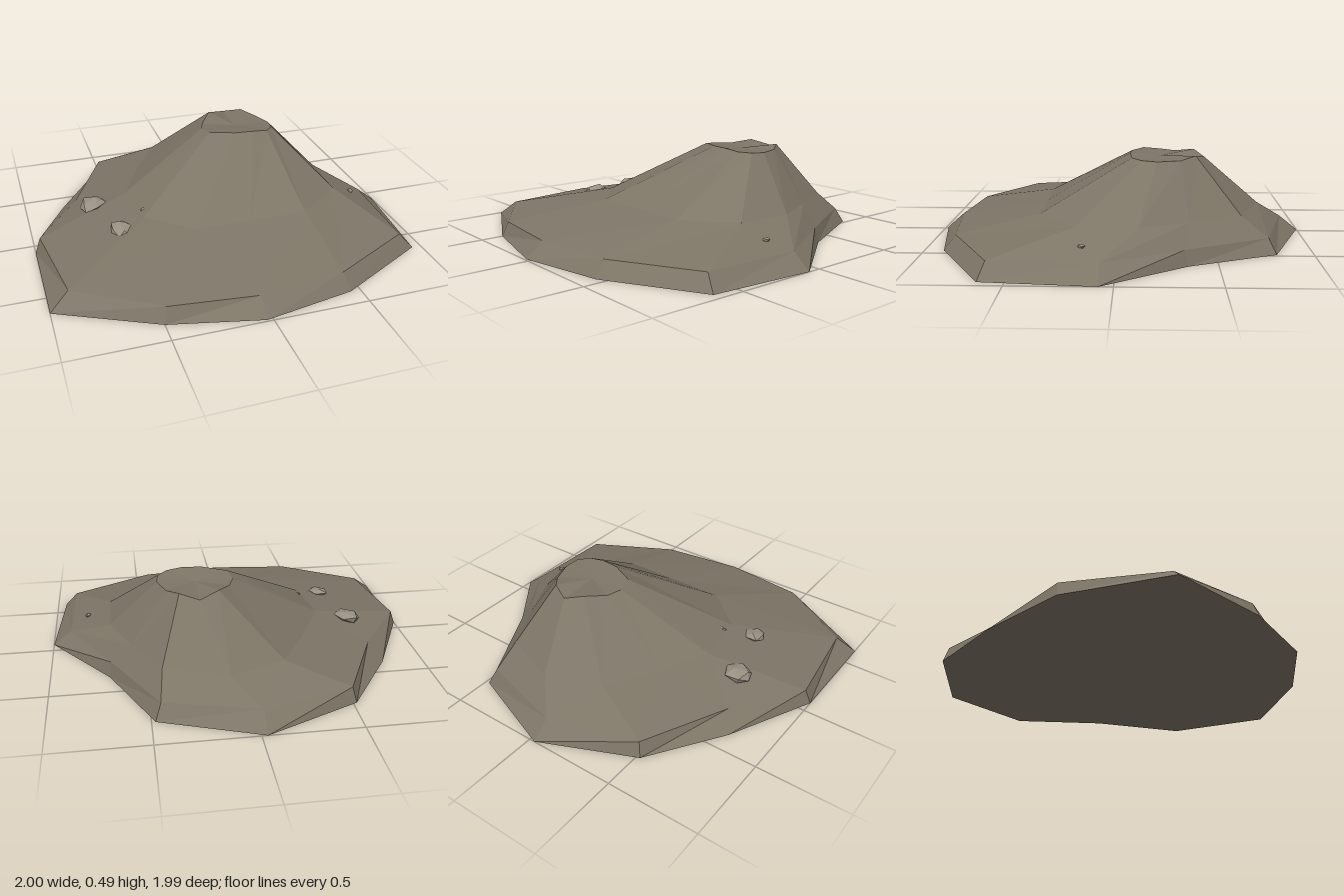
import * as THREE from 'three';

// Outlines of the mound, [x, z] clockwise from the back, seen from above
const foot = [[-0.03, -1], [0.48, -0.81], [0.69, -0.35], [1, 0.07], [0.95, 0.63], [0.45, 0.9],
  [-0.03, 0.99], [-0.5, 0.88], [-1, 0.63], [-1, 0.07], [-0.78, -0.39], [-0.52, -0.78]];
const skirt = [[-0.03, -0.9], [0.45, -0.77], [0.68, -0.33], [0.9, 0.07], [0.88, 0.6], [0.43, 0.84],
  [-0.03, 0.9], [-0.48, 0.85], [-0.9, 0.58], [-0.97, 0.06], [-0.72, -0.3], [-0.5, -0.76]];
const shoulder = [[0.11, -0.75], [0.43, -0.63], [0.57, -0.36], [0.68, -0.11], [0.67, 0.2], [0.41, 0.4],
  [0.1, 0.4], [-0.2, 0.4], [-0.43, 0.2], [-0.47, -0.1], [-0.34, -0.36], [-0.18, -0.64]];
const rim = [[0.22, -0.45], [0.32, -0.4], [0.38, -0.32], [0.42, -0.2], [0.41, -0.12], [0.36, -0.07],
  [0.27, -0.06], [0.17, -0.07], [0.04, -0.13], [0.02, -0.22], [0.05, -0.3], [0.12, -0.4]];
const rimHeight = [0.46, 0.48, 0.465, 0.465, 0.47, 0.475, 0.485, 0.485, 0.48, 0.47, 0.465, 0.485];

const material = (color) => new THREE.MeshStandardMaterial({ color, flatShading: true });

// Joins the rings into bands and closes both ends with a fan
function loft(rings, bottom, top) {
  const pos = [];
  const tri = (...pts) => pts.forEach((p) => pos.push(...p));
  const n = rings[0].length;
  const last = rings[rings.length - 1];
  for (let i = 0; i < n; i++) {
    const j = (i + 1) % n;
    for (let k = 0; k < rings.length - 1; k++) {
      const low = rings[k], high = rings[k + 1];
      tri(low[j], low[i], high[i]);
      tri(low[j], high[i], high[j]);
    }
    tri(bottom, rings[0][i], rings[0][j]);
    tri(top, last[j], last[i]);
  }
  const geo = new THREE.BufferGeometry();
  geo.setAttribute('position', new THREE.Float32BufferAttribute(pos, 3));
  geo.computeVertexNormals();
  return geo;
}

// Flattened, slightly irregular stone
function stone(name, [x, y, z], [sx, sy, sz], turn) {
  const geo = new THREE.IcosahedronGeometry(1, 0);
  const p = geo.attributes.position;
  for (let i = 0; i < p.count; i++) {
    const s = 1 + 0.15 * Math.sin(p.getX(i) * 5 + p.getY(i) * 3 + p.getZ(i) * 7 + turn);
    p.setXYZ(i, p.getX(i) * s, p.getY(i), p.getZ(i) * s);
  }
  geo.computeVertexNormals();
  const mesh = new THREE.Mesh(geo, material(0x989182));
  mesh.name = name;
  mesh.position.set(x, y, z);
  mesh.scale.set(sx, sy, sz);
  mesh.rotation.set(0, turn, 0.2);
  return mesh;
}

export function createModel() {
  const group = new THREE.Group();
  group.name = 'rockyMound';

  // Mound: steep skirt, gentle apron, steep cone and flat summit
  const ring = (pts, height) => pts.map(([x, z], i) => [x, height(i), z]);
  const rings = [
    ring(foot, () => 0),
    ring(skirt, () => 0.08),
    ring(shoulder, () => 0.19),
    ring(rim, (i) => rimHeight[i]),
  ];
  const mound = new THREE.Mesh(loft(rings, [0, 0, 0], [0.22, 0.465, -0.22]), material(0x7d7566));
  mound.name = 'mound';
  group.add(mound);

  // Loose stones on the slopes
  group.add(
    stone('largeStone', [-0.66, 0.145, -0.1], [0.075, 0.035, 0.075], 0.4),
    stone('mediumStone', [-0.56, 0.16, 0.23], [0.07, 0.027, 0.06], 1.7),
    stone('smallStone', [-0.41, 0.2, 0.125], [0.03, 0.012, 0.01], 0.2),
    stone('pebble', [0.8, 0.13, 0.16], [0.02, 0.012, 0.015], 0.9),
  );
  return group;
}
